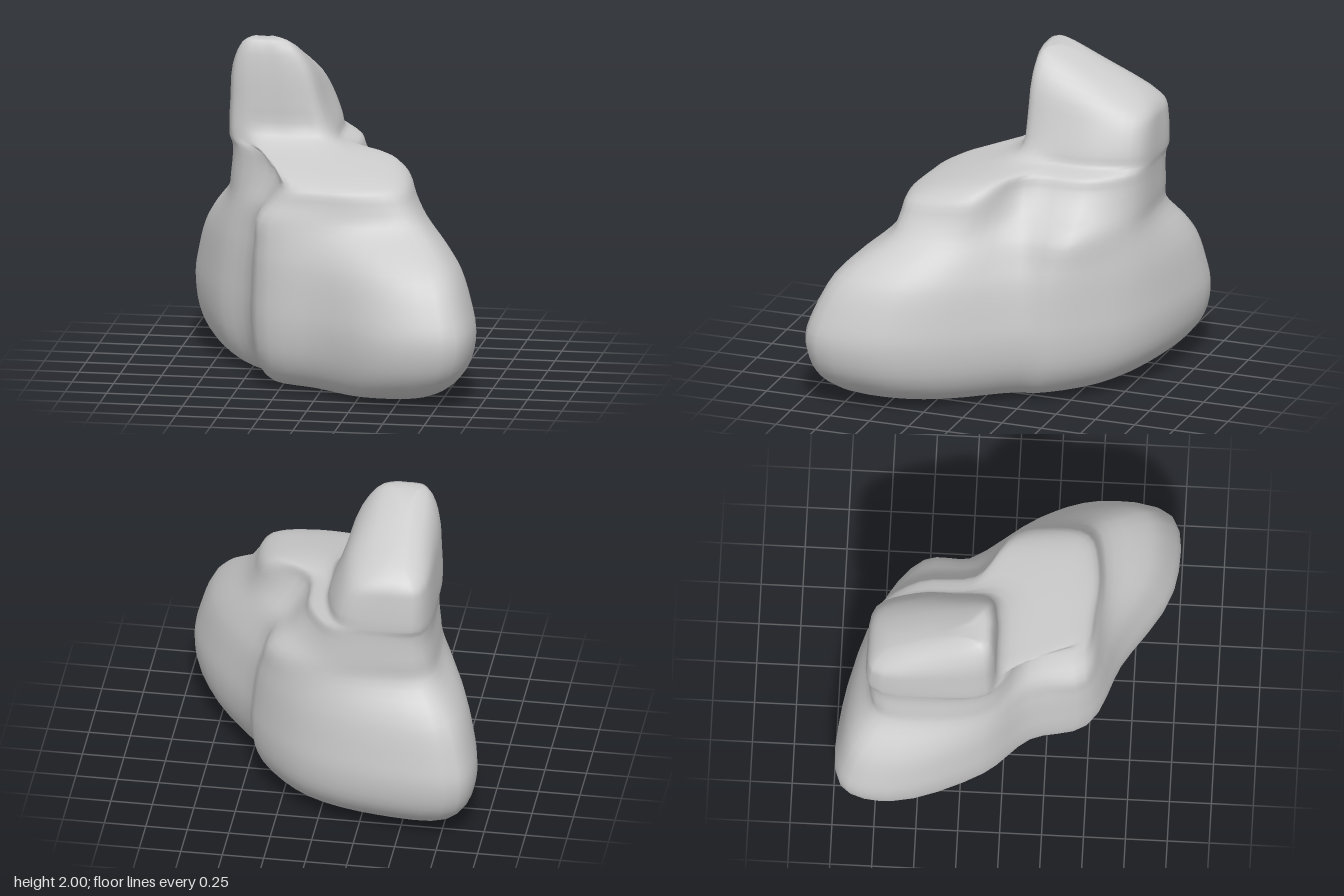
import * as THREE from 'three';

// Plan outlines as x,z pairs, running clockwise from the back left corner.
const outline = (...n) => Array.from({ length: n.length / 2 }, (_, i) => new THREE.Vector2(n[2 * i], n[2 * i + 1]));

const body = outline(
  -0.88, -0.96, -0.42, -0.97, 0.1, -0.8, 0.43, -0.46, 0.49, -0.27, 0.82, 0.2, 0.95, 0.55,
  0.89, 0.94, 0.47, 0.97, 0, 0.69, -0.38, 0.51, -0.49, 0.16, -0.74, -0.13, -0.95, -0.68);
const waist = outline(
  -0.66, -0.75, -0.35, -0.81, 0, -0.77, 0.33, -0.52, 0.35, -0.22, 0.54, 0.06, 0.61, 0.28,
  0.59, 0.5, 0.35, 0.57, 0, 0.56, -0.37, 0.48, -0.43, 0.16, -0.63, -0.09, -0.7, -0.45);
const shoulder = outline(
  -0.62, -0.76, -0.37, -0.81, -0.08, -0.77, 0.11, -0.53, 0.17, -0.17, 0.43, 0, 0.49, 0.2,
  0.46, 0.45, 0.25, 0.52, 0, 0.51, -0.22, 0.46, -0.33, 0.14, -0.6, -0.07, -0.66, -0.4);
const tower = outline(
  -0.62, -0.79, -0.4, -0.82, -0.14, -0.78, -0.04, -0.55, -0.03, -0.3, -0.05, -0.12, -0.09, -0.07,
  -0.17, -0.05, -0.26, -0.04, -0.36, -0.04, -0.46, -0.04, -0.56, -0.05, -0.64, -0.1, -0.67, -0.4);

// Scale an outline about a centre, or blend two outlines.
const scale = (o, sx, sz, cx, cz) => o.map(p => new THREE.Vector2(cx + (p.x - cx) * sx, cz + (p.y - cz) * sz));
const blend = (a, b, t) => a.map((p, i) => p.clone().lerp(b[i], t));
const foot = s => scale(body, s, s, -0.09, 0.09);
const top = (sx, sz, cx) => scale(tower, sx, sz, cx, -0.45);

// The shoulder only drops forwards of the middle; the tower top tilts all along z.
const ledge = (y, slope) => z => y + slope * Math.max(z, 0);
const tilt = (y, slope) => z => y + slope * z;

// Rings from the ground up: outline and height rule.
const rings = [
  [foot(0), ledge(0, 0)],
  [foot(0.58), ledge(0.006, 0)],
  [foot(0.77), ledge(0.05, 0)],
  [foot(0.89), ledge(0.13, 0)],
  [foot(0.97), ledge(0.25, 0)],
  [body, ledge(0.42, 0)],
  [blend(body, waist, 0.1), ledge(0.58, 0)],
  [blend(body, waist, 0.3), ledge(0.76, 0)],
  [blend(body, waist, 0.57), ledge(0.88, 0)],
  [waist, ledge(1.03, 0)],
  [blend(waist, shoulder, 0.6), ledge(1.15, -0.03)],
  [shoulder, ledge(1.27, -0.1)],
  [blend(shoulder, tower, 0.18), ledge(1.34, -0.16)],
  [blend(shoulder, tower, 0.5), ledge(1.365, -0.17)],
  [blend(shoulder, tower, 0.87), ledge(1.39, -0.1)],
  [tower, ledge(1.46, 0)],
  [top(0.9, 0.98, -0.6), tilt(1.62, 0.03)],
  [top(0.77, 0.96, -0.57), tilt(1.87, 0.27)],
  [top(0.52, 0.88, -0.51), tilt(2.03, 0.42)],
  [top(0.22, 0.65, -0.48), tilt(2.09, 0.46)],
  [top(0, 0, -0.47), tilt(2.1, 0.46)],
];

// Smooth skin stretched over the rings, around and then upwards.
function skin(around, rows) {
  const loops = rings.map(([o, height]) => {
    const curve = new THREE.CatmullRomCurve3(o.map(p => new THREE.Vector3(p.x, height(p.y), p.y)), true);
    return Array.from({ length: around }, (_, j) => curve.getPoint(j / around));
  });
  const columns = loops[0].map((_, j) => new THREE.CatmullRomCurve3(loops.map(l => l[j])));
  const pos = [], index = [];
  for (let i = 0; i <= rows; i++) {
    for (let j = 0; j < around; j++) {
      const p = columns[j].getPoint(i / rows);
      pos.push(p.x, THREE.MathUtils.clamp(p.y, 0, 2), p.z);
      if (i === rows) continue;
      const k = (j + 1) % around, a = i * around, b = a + around;
      if (i > 0) index.push(a + j, b + j, a + k);
      if (i < rows - 1) index.push(a + k, b + j, b + k);
    }
  }
  const g = new THREE.BufferGeometry();
  g.setAttribute('position', new THREE.Float32BufferAttribute(pos, 3));
  g.setIndex(index);
  g.computeVertexNormals();
  // The collapsed end rings face straight down and up.
  for (let j = 0; j < around; j++) {
    g.attributes.normal.setXYZ(j, 0, -1, 0);
    g.attributes.normal.setXYZ(rows * around + j, 0, 0.91, -0.42);
  }
  return g;
}

export function createModel() {
  const group = new THREE.Group();
  group.name = 'rockFormation';
  const rock = new THREE.Mesh(skin(56, 60), new THREE.MeshStandardMaterial({ color: 0xcccccc }));
  rock.name = 'boulder';
  group.add(rock);
  return group;
}
